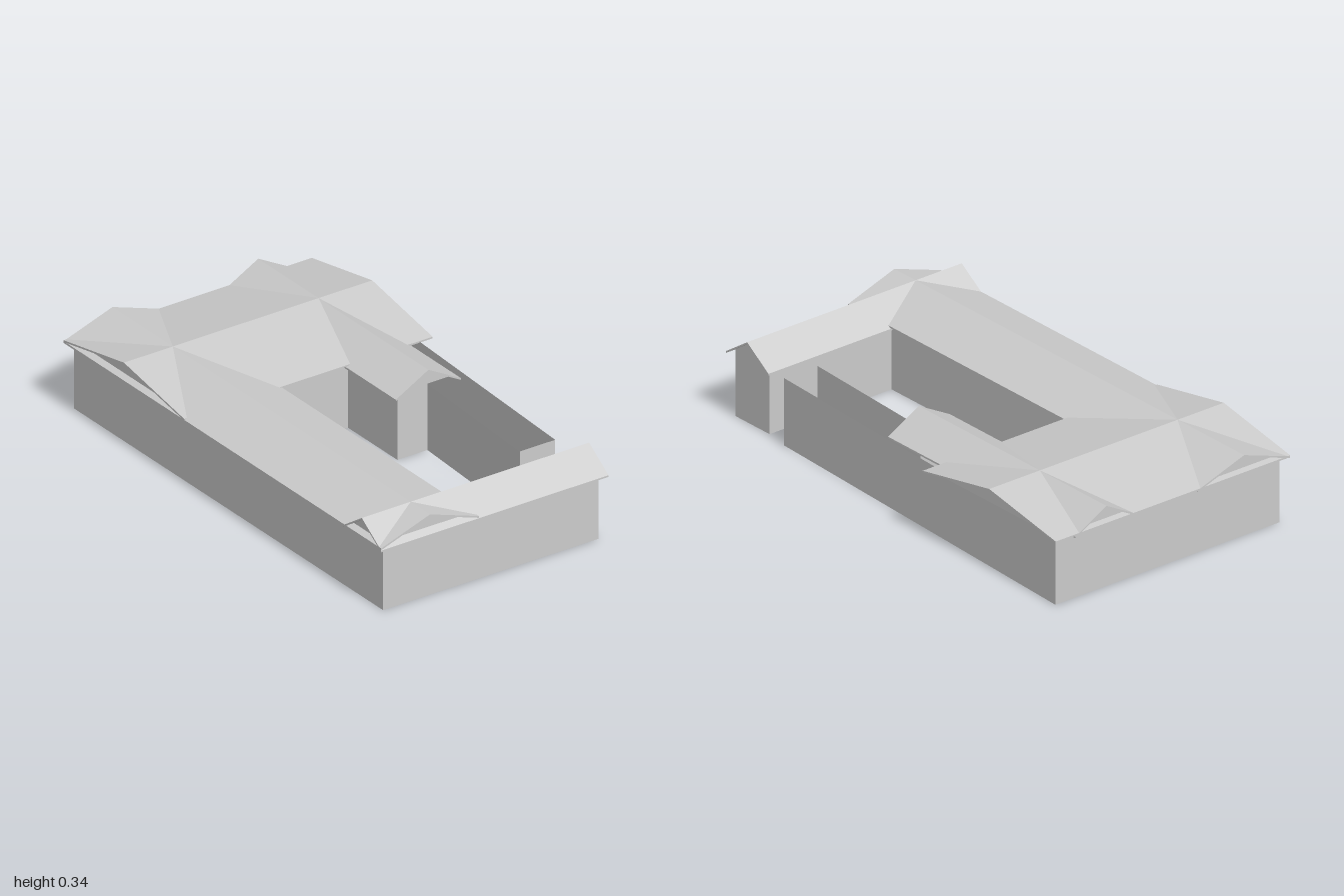
import * as THREE from 'three';

const WALL_H = 0.265;
const RIDGE = 0.335;
const OVERHANG = 0.025;
const THICK = 0.007;

const material = new THREE.MeshStandardMaterial({
  color: 0xcccccc, flatShading: true, side: THREE.DoubleSide,
});

// Corners of the wall outline on the ground (x, z), seen from above
const FOOTPRINT = [
  [0.025, 0.03], [1.054, 0.03], [0.978, 1.62], [0.825, 1.62],
  [0.858, 1.01], [0.728, 1.01], [0.728, 0.71], [0.4, 0.71],
  [0.4, 1.722], [0.96, 1.722], [0.96, 1.91], [0.025, 1.91],
];

function polygon(points) {
  return new THREE.Shape(points.map(([x, y]) => new THREE.Vector2(x, y)));
}

// Thin open walls standing on the outline, without floor or ceiling
function buildWalls() {
  const positions = [];
  FOOTPRINT.forEach(([ax, az], i) => {
    const [bx, bz] = FOOTPRINT[(i + 1) % FOOTPRINT.length];
    positions.push(bx, 0, bz, ax, 0, az, ax, WALL_H, az);
    positions.push(bx, 0, bz, ax, WALL_H, az, bx, WALL_H, bz);
  });
  const geometry = new THREE.BufferGeometry();
  geometry.setAttribute('position', new THREE.Float32BufferAttribute(positions, 3));
  geometry.computeVertexNormals();
  const walls = new THREE.Mesh(geometry, material);
  walls.name = 'walls';
  return walls;
}

// Gabled roof over the rectangle x0..x1, z0..z1, with its ridge along x or z
function buildRoof(name, x0, x1, z0, z1, alongX) {
  const half = (alongX ? z1 - z0 : x1 - x0) / 2;
  const length = alongX ? x1 - x0 : z1 - z0;
  const inner = half - OVERHANG;
  const top = RIDGE - THICK;
  const eave = WALL_H - (OVERHANG * (top - WALL_H)) / inner;

  const roof = new THREE.Group();
  roof.name = name;

  // Two slopes of even thickness
  const slopes = new THREE.Mesh(
    new THREE.ExtrudeGeometry(polygon([
      [-half, eave], [0, top], [half, eave],
      [half, eave + THICK], [0, RIDGE], [-half, eave + THICK],
    ]), { depth: length, bevelEnabled: false }),
    material,
  );
  slopes.name = 'slopes';
  slopes.position.z = -length / 2;
  roof.add(slopes);

  // Triangular wall under each roof end
  const gable = new THREE.ShapeGeometry(polygon([[-inner, WALL_H], [inner, WALL_H], [0, top]]));
  for (const side of [-1, 1]) {
    const mesh = new THREE.Mesh(gable, material);
    mesh.name = 'gableWall';
    mesh.position.z = side * (length / 2 - OVERHANG);
    if (side < 0) mesh.rotation.y = Math.PI;
    roof.add(mesh);
  }

  roof.position.set((x0 + x1) / 2, 0, (z0 + z1) / 2);
  if (alongX) roof.rotation.y = Math.PI / 2;
  return roof;
}

export function createModel() {
  const model = new THREE.Group();
  model.name = 'courtyardBuilding';

  // The whole plan is turned slightly about the vertical
  const building = new THREE.Group();
  building.name = 'building';
  building.position.set(-0.475, 0, -1);
  building.rotation.y = -0.0666;
  model.add(building);

  building.add(
    buildWalls(),
    buildRoof('longWingRoof', 0, 0.424, 0, 1.933, false),
    buildRoof('backWingRoof', 0, 1.077, 0, 0.735, true),
    buildRoof('shortWingRoof', 0.703, 0.986, 0, 1.036, false),
    buildRoof('frontWingRoof', 0, 0.986, 1.697, 1.933, true),
  );
  return model;
}
